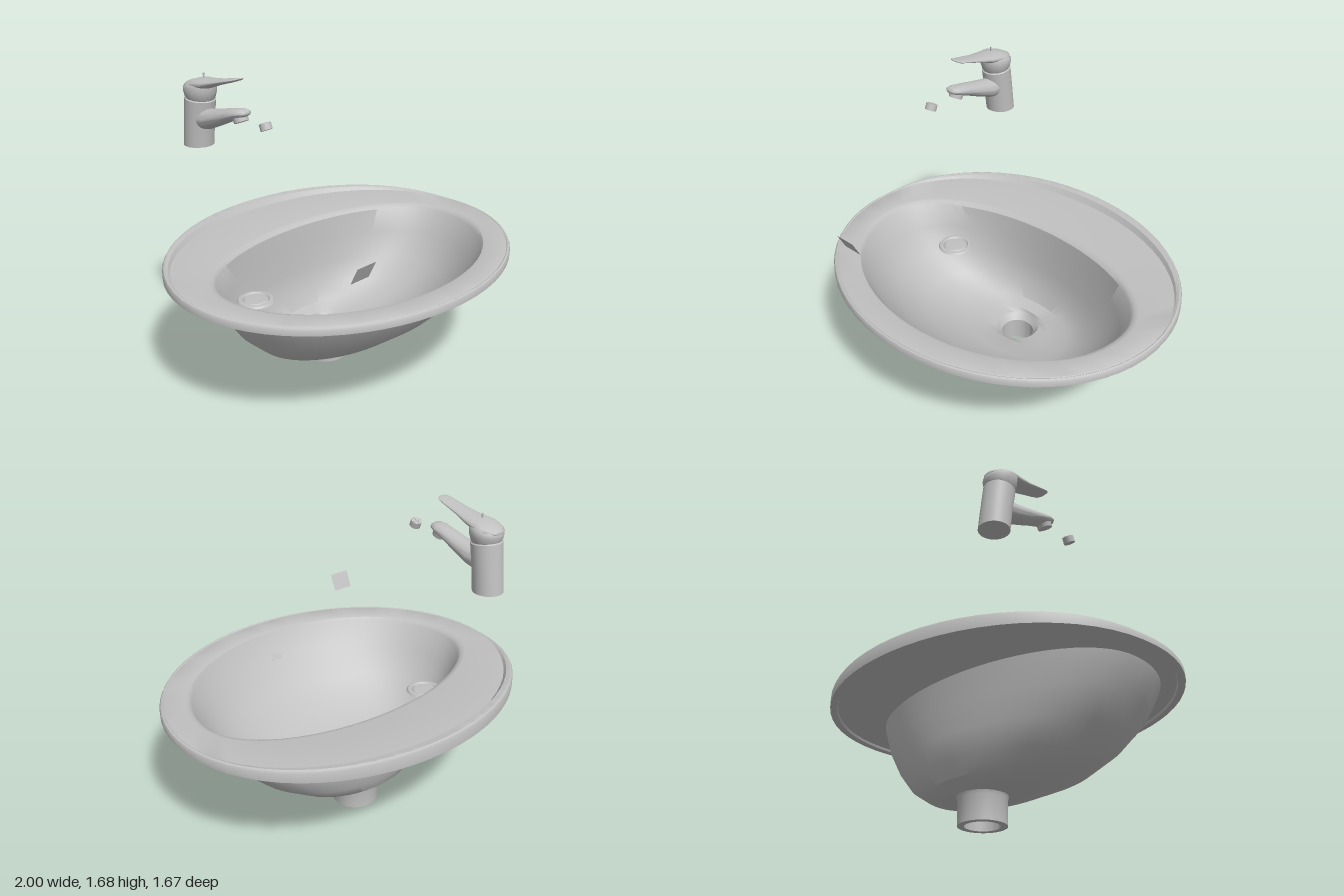
import * as THREE from 'three';
import { toCreasedNormals } from 'three/addons/utils/BufferGeometryUtils.js';

const SEG = 64;
const DRAIN_Z = -0.14;

// Skin a list of closed rings (arrays of [x, y, z])
function loft(rings, crease = 0.6) {
  const n = rings[0].length, index = [];
  for (let i = 0; i < rings.length - 1; i++) {
    for (let j = 0; j < n; j++) {
      const k = (j + 1) % n;
      const a = i * n + j, b = i * n + k, c = a + n, d = b + n;
      index.push(a, b, c, b, d, c);
    }
  }
  const g = new THREE.BufferGeometry();
  g.setAttribute('position', new THREE.Float32BufferAttribute(rings.flat(2), 3));
  g.setIndex(index);
  return toCreasedNormals(g, crease);
}

// Horizontal egg-shaped ring: height rule, half width, front z, back z, z of widest point
function egg(height, a, zf, zb, zm) {
  return Array.from({ length: SEG }, (_, j) => {
    const t = (j / SEG) * Math.PI * 2, s = Math.sin(t);
    const z = s >= 0 ? zm + (zf - zm) * s : zm - (zm - zb) * Math.pow(-s, 0.93);
    return [a * Math.cos(t), height(z), z];
  });
}
const flat = (y) => () => y;
const drainRing = (y, r) => egg(flat(y), r, DRAIN_Z + r, DRAIN_Z - r, DRAIN_Z);
const rimRing = (height, s) => egg(height, s, 0.835 * s, -0.836 * s, 0);

// Upright elliptical ring for parts that run forward along z
function upright([z, y, w, h]) {
  return Array.from({ length: 32 }, (_, j) => {
    const t = (j / 32) * Math.PI * 2;
    return [w * Math.cos(t), y + h * Math.sin(t), z];
  });
}

// Level round ring for parts that run upward; tilt raises the back
function level([y, z, r, tilt = 0]) {
  return Array.from({ length: 40 }, (_, j) => {
    const t = (j / 40) * Math.PI * 2;
    return [r * Math.cos(t), y + tilt * Math.sin(t), z - r * Math.sin(t)];
  });
}

// Basin: drain bore, inner bowl, deck, raised back lip, underside, outer bowl, drain pipe
function basinGeometry() {
  const bowl = [
    [0.66, 0.845, 0.71, -0.44, 0.05],
    [0.53, 0.785, 0.64, -0.43, 0.04],
    [0.39, 0.68, 0.505, -0.42, 0.03],
    [0.27, 0.55, 0.35, -0.4, 0],
    [0.19, 0.4, 0.17, -0.355, -0.06],
    [0.16, 0.25, 0.04, -0.29, -0.12],
  ];
  const outer = bowl.map(([y, ...r]) => egg(flat(y), ...r));
  const inner = bowl.map(([y, a, zf, zb, zm]) =>
    egg(flat(y + 0.025), a - 0.03, zf - 0.033, zb + 0.027, zm)).reverse();
  const lip = (drop) => (z) => 0.71 + 0.05 * Math.max(0, -z - 0.1) - drop;
  return loft([
    drainRing(0, 0.09), drainRing(0.13, 0.09), drainRing(0.168, 0.12),
    ...inner,
    egg(flat(0.702), 0.833, 0.685, -0.43, 0.05),
    egg(flat(0.707), 0.855, 0.7, -0.45, 0.045),
    egg(flat(0.709), 0.975, 0.81, -0.765, 0),
    egg(lip(0.004), 0.98, 0.815, -0.785, 0),
    rimRing(lip(0), 0.985), rimRing(lip(0.004), 0.994), rimRing(lip(0.014), 1),
    rimRing(flat(0.67), 1), rimRing(flat(0.67), 0.96), rimRing(flat(0.683), 0.955),
    egg(flat(0.683), 0.853, 0.72, -0.442, 0.05),
    ...outer,
    drainRing(0.148, 0.13), drainRing(0.13, 0.124), drainRing(0, 0.124), drainRing(0, 0.09),
  ]);
}

export function createModel() {
  const model = new THREE.Group();
  const ceramic = new THREE.MeshStandardMaterial({ color: 0xc0c0c0, side: THREE.DoubleSide });
  ceramic.name = 'light grey';
  const add = (parent, name, geometry, x = 0, y = 0, z = 0, rx = 0) => {
    const m = new THREE.Mesh(geometry, ceramic);
    m.name = name;
    m.position.set(x, y, z);
    m.rotation.x = rx;
    parent.add(m);
    return m;
  };

  add(model, 'basin', basinGeometry());

  // Overflow cover on the front inner wall
  add(model, 'overflowCover', new THREE.CylinderGeometry(0.035, 0.035, 0.012, 24), 0, 0.555, 0.612, -1.08);

  // Loose drain plug with a flanged ring
  const plug = [[0, -0.012], [0.07, -0.012], [0.1, 0], [0.092, 0.01], [0.075, 0.012],
    [0.068, 0.004], [0.06, 0.01], [0, 0.012]].map(([x, y]) => new THREE.Vector2(x, y));
  add(model, 'drainPlug', toCreasedNormals(new THREE.LatheGeometry(plug, 40), 0.5), -0.5, 0.506, -0.145);

  // Loose tilted plate
  add(model, 'plate', new THREE.PlaneGeometry(0.12, 0.1), -0.5, 0.925, 0.63, Math.PI + 0.46);

  // Tap
  const tap = new THREE.Group();
  tap.name = 'tap';
  tap.position.x = -0.505;
  model.add(tap);
  const body = [[1.276, -0.555, 0], [1.276, -0.555, 0.079], [1.4, -0.54, 0.079],
    [1.525, -0.521, 0.08, 0.01], [1.53, -0.521, 0.074, 0.01]];
  add(tap, 'tapBody', loft(body.map(level)));
  const cap = [[1.53, -0.521, 0.074, 0.01], [1.537, -0.52, 0.078, 0.01], [1.565, -0.517, 0.085, 0.002],
    [1.595, -0.515, 0.087, -0.012], [1.615, -0.515, 0.07, -0.012], [1.625, -0.515, 0.04, -0.01], [1.63, -0.515, 0]];
  add(tap, 'tapCap', loft(cap.map(level), 0.8));
  const spout = [[-0.53, 1.42, 0.06, 0.06], [-0.44, 1.43, 0.061, 0.052], [-0.35, 1.457, 0.056, 0.043],
    [-0.27, 1.483, 0.052, 0.034], [-0.2, 1.503, 0.05, 0.027], [-0.165, 1.511, 0.04, 0.018],
    [-0.152, 1.511, 0.024, 0.01], [-0.149, 1.511, 0, 0]];
  add(tap, 'spout', loft(spout.map(upright), 0.9));
  add(tap, 'spoutOutlet', new THREE.CylinderGeometry(0.04, 0.037, 0.04, 28), 0, 1.481, -0.2, -0.41);
  const lever = [[-0.604, 1.588, 0, 0], [-0.598, 1.588, 0.03, 0.012], [-0.56, 1.595, 0.068, 0.024],
    [-0.5, 1.606, 0.078, 0.03], [-0.43, 1.615, 0.068, 0.025], [-0.35, 1.634, 0.053, 0.016],
    [-0.25, 1.658, 0.045, 0.01], [-0.21, 1.668, 0.04, 0.007], [-0.195, 1.673, 0.025, 0.004], [-0.189, 1.675, 0, 0]];
  add(tap, 'lever', loft(lever.map(upright), 0.9));
  add(tap, 'leverPin', new THREE.CylinderGeometry(0.004, 0.004, 0.03, 8), 0, 1.645, -0.48);

  // Loose aerator insert in front of the spout, with a raised cross
  const aerator = add(model, 'aerator', new THREE.CylinderGeometry(0.03, 0.03, 0.034, 24), -0.505, 1.476, -0.01, -0.41);
  for (const turn of [0, Math.PI / 2]) {
    add(aerator, 'aeratorCross', new THREE.BoxGeometry(0.05, 0.004, 0.006), 0, 0.017, 0).rotation.y = turn;
  }
  return model;
}
